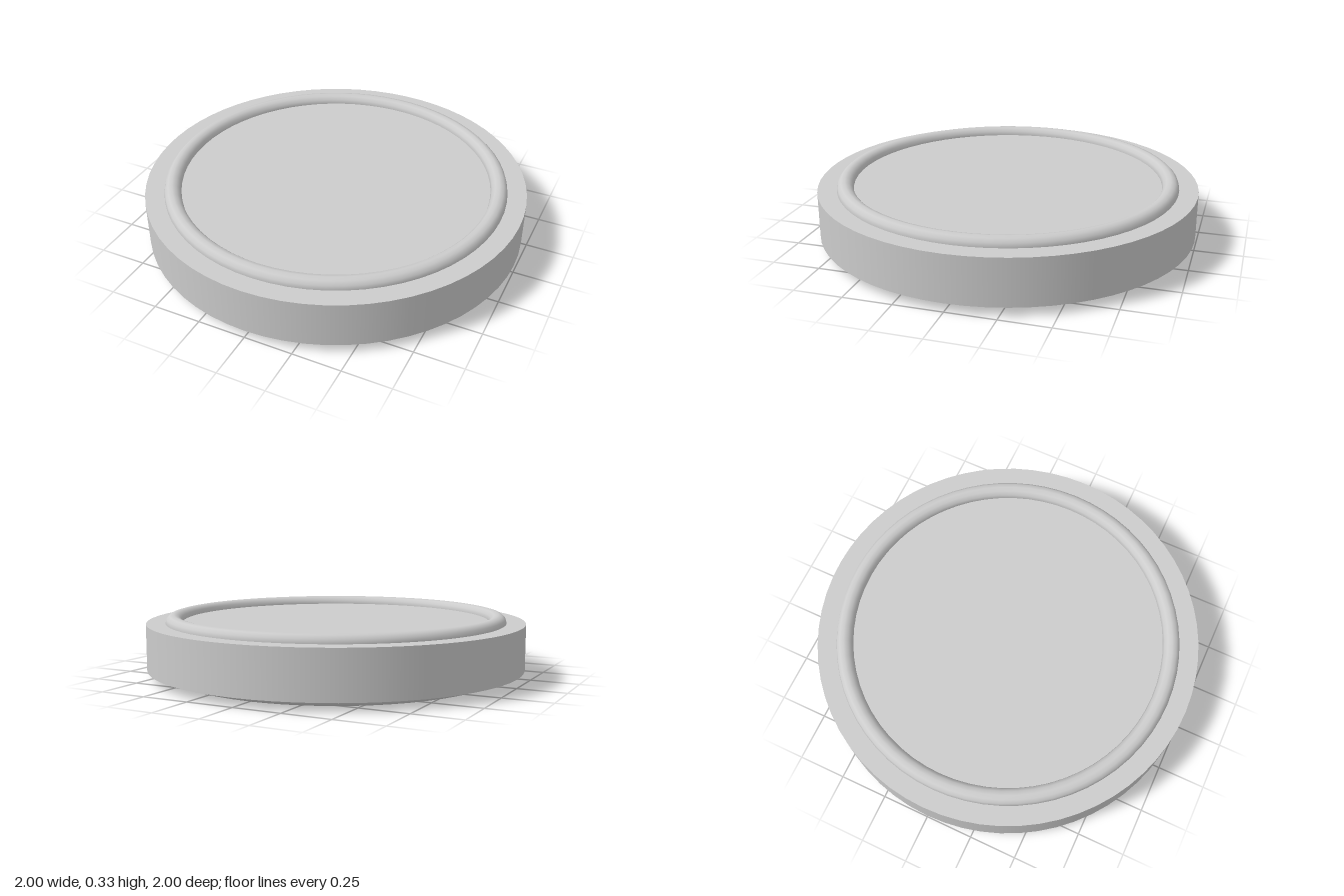
import * as THREE from 'three';

export function createModel() {
  const group = new THREE.Group();
  group.name = 'disc';
  const grey = new THREE.MeshStandardMaterial({ color: 0xcccccc });
  grey.name = 'light grey';

  const rim = 0.044; // tube radius of the raised rings
  const thickness = 0.242;

  // Main round body
  const body = new THREE.Mesh(new THREE.CylinderGeometry(1, 1, thickness, 64), grey);
  body.name = 'body';
  body.position.y = rim + thickness / 2;
  group.add(body);

  // Raised rings, half sunk into the top and bottom faces
  const ringGeometry = new THREE.TorusGeometry(0.857, rim, 12, 64).rotateX(Math.PI / 2);
  for (const [name, y] of [['bottomRing', rim], ['topRing', rim + thickness]]) {
    const ring = new THREE.Mesh(ringGeometry, grey);
    ring.name = name;
    ring.position.y = y;
    group.add(ring);
  }
  return group;
}
